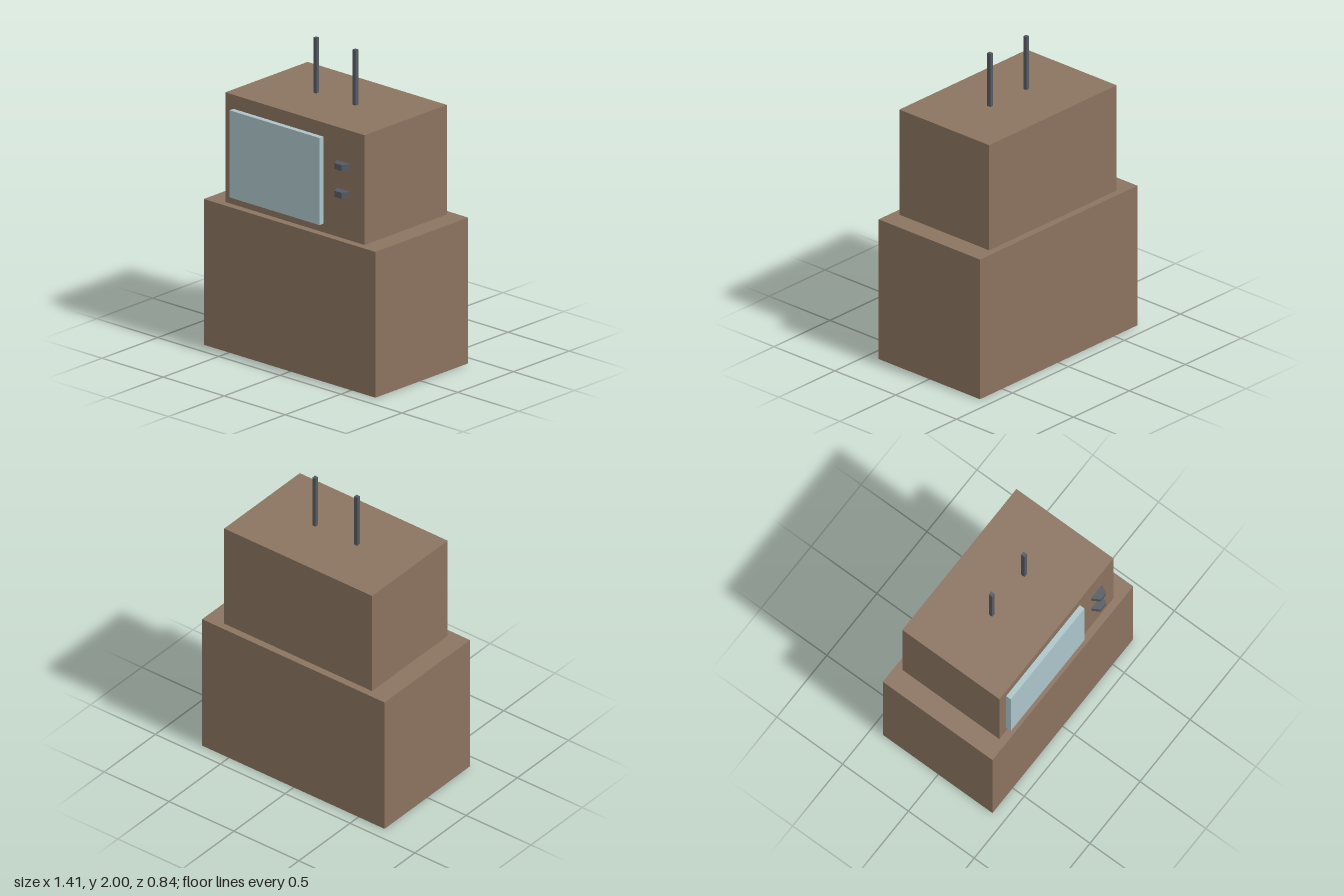
import * as THREE from 'three';

const material = (color) => new THREE.MeshStandardMaterial({ color, flatShading: true });

export function createModel() {
  const model = new THREE.Group();
  model.name = 'televisionOnCabinet';
  const wood = material(0x8b7360);
  const glass = material(0xabc4c9);
  const dark = material(0x555a62);

  const add = (name, geometry, mat, x, y, z) => {
    const mesh = new THREE.Mesh(geometry, mat);
    mesh.name = name;
    mesh.position.set(x, y, z);
    model.add(mesh);
    return mesh;
  };
  // Box given by its limits on each axis
  const box = (name, mat, [x0, x1], [y0, y1], [z0, z1]) =>
    add(name, new THREE.BoxGeometry(x1 - x0, y1 - y0, z1 - z0), mat,
      (x0 + x1) / 2, (y0 + y1) / 2, (z0 + z1) / 2);

  // Cabinet with the television case on top
  box('cabinet', wood, [-0.703, 0.703], [0.003, 0.94], [-0.42, 0.413]);
  box('televisionCase', wood, [-0.57, 0.57], [0.94, 1.645], [-0.373, 0.365]);
  box('screen', glass, [-0.503, 0.233], [0.995, 1.555], [0.36, 0.4]);

  // Upright aerials
  for (const x of [-0.162, 0.16]) {
    box('aerial', dark, [x - 0.012, x + 0.012], [1.64, 2], [-0.016, 0.009]);
  }

  // Hexagonal dials half sunk into the case
  for (const y of [1.413, 1.235]) {
    const dial = add('dial', new THREE.CylinderGeometry(0.054, 0.054, 0.038, 6), dark, 0.4, y, 0.37);
    dial.rotation.y = Math.PI / 6;
  }

  // Low round feet
  for (const [x, z] of [[0.605, -0.345], [0.605, 0.335], [-0.605, -0.345]]) {
    add('foot', new THREE.CylinderGeometry(0.047, 0.047, 0.02, 10), dark, x, 0.01, z);
  }
  return model;
}
